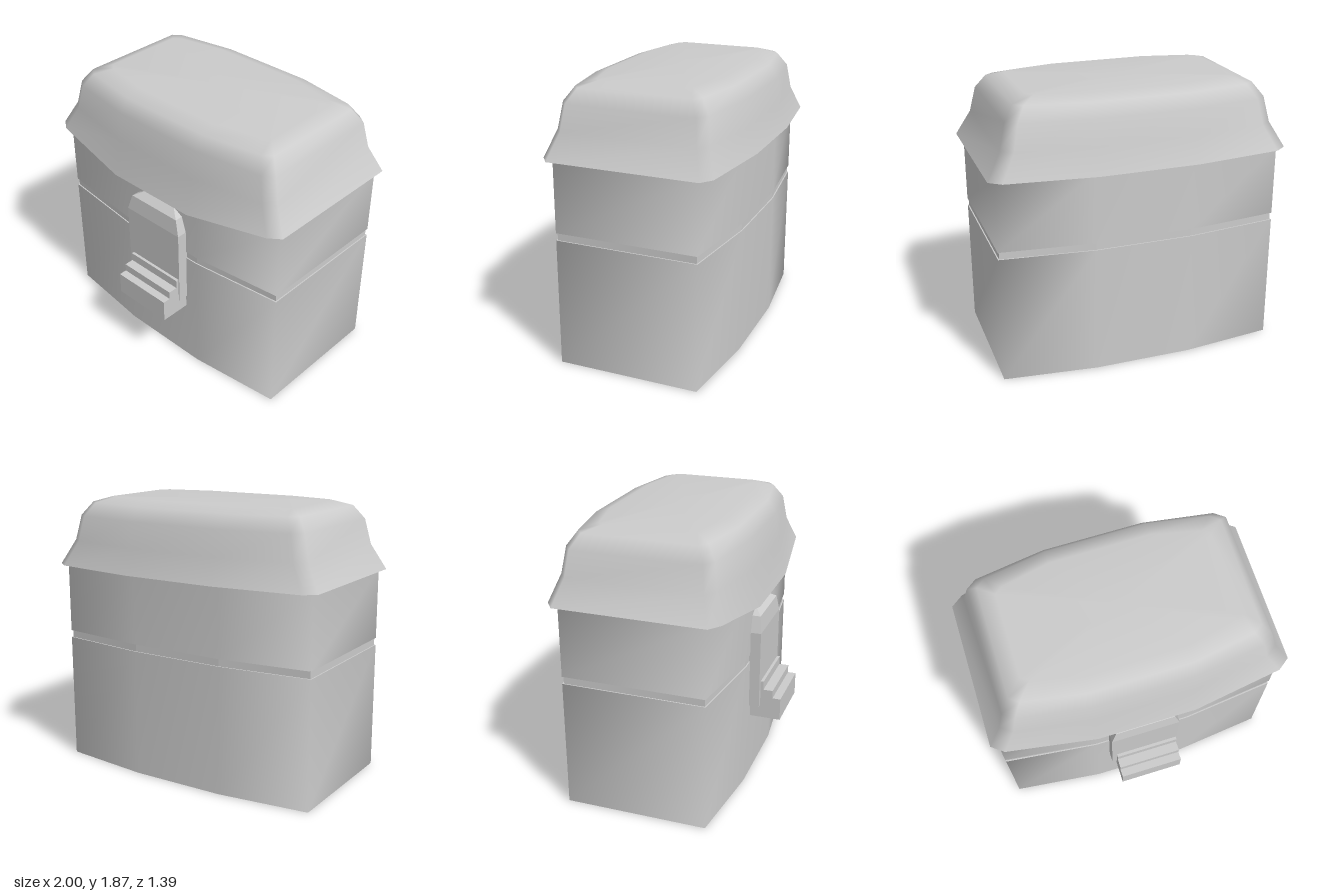
import * as THREE from 'three';

const ZC = -0.06; // centre of the bowed plan

function makeMaterial(flat) {
  return new THREE.MeshStandardMaterial({ color: 0xcccccc, side: THREE.DoubleSide, flatShading: flat });
}

// Plan outline with bowed front and back; cut > 0 chamfers the corners
function outline(hx, hz, y, cut = 0, frontDip = 0) {
  const bow = 0.07, mid = 0.33;
  const half = [[-mid, hz], [mid, hz], [hx - cut, hz - bow]];
  if (cut) half.push([hx, hz - bow - cut * 0.75]);
  const right = half.slice(2);
  const pts = [
    ...half,
    ...right.slice().reverse().map(([x, z]) => [x, -z]),
    [mid, -hz], [-mid, -hz],
    ...right.map(([x, z]) => [-x, -z]),
    ...right.slice().reverse().map(([x, z]) => [-x, z]),
  ];
  return pts.map(([x, z], i) => new THREE.Vector3(x, i < 2 ? y - frontDip : y, z + ZC));
}

// Skin between cross-sections, either closed rings or open strips
function loft(name, rings, { flat = false, closed = true, cap = false } = {}) {
  const n = rings[0].length, index = [];
  const points = rings.flat();
  for (let r = 0; r < rings.length - 1; r++) {
    for (let i = 0; i < (closed ? n : n - 1); i++) {
      const a = r * n + i, b = r * n + (i + 1) % n;
      index.push(a, b, b + n, a, b + n, a + n);
    }
  }
  if (cap) {
    const last = (rings.length - 1) * n;
    const centre = new THREE.Vector3();
    rings[rings.length - 1].forEach((p) => centre.addScaledVector(p, 1 / n));
    points.push(centre);
    for (let i = 0; i < n; i++) index.push(last + i, last + (i + 1) % n, points.length - 1);
  }
  const geometry = new THREE.BufferGeometry().setFromPoints(points);
  geometry.setIndex(index);
  geometry.computeVertexNormals();
  const mesh = new THREE.Mesh(geometry, makeMaterial(flat));
  mesh.name = name;
  return mesh;
}

export function createModel() {
  const model = new THREE.Group();
  model.name = 'lunchBox';

  // Body: open-bottomed walls split by a shallow groove
  const HX = 0.955, HZ = 0.55, inset = 0.008;
  model.add(loft('lowerBody', [outline(HX, HZ, 0), outline(HX, HZ, 0.87)]));
  model.add(loft('upperBody', [outline(HX, HZ, 0.92), outline(HX, HZ, 1.4)]));
  model.add(loft('seamGroove', [
    outline(HX, HZ, 0.87),
    outline(HX - inset, HZ - inset, 0.87),
    outline(HX - inset, HZ - inset, 0.92),
    outline(HX, HZ, 0.92),
  ], { flat: true }));

  // Lid: flared rim that dips at the front, rounded shoulders, flat top
  const lidProfile = [ // half width, half depth, height, corner cut, front dip
    [1.0, 0.633, 1.4, 0.08, 0.09],
    [0.905, 0.575, 1.57, 0.075, 0.02],
    [0.865, 0.55, 1.74, 0.07, 0],
    [0.8, 0.49, 1.83, 0.06, 0],
    [0.7, 0.39, 1.865, 0.05, 0],
  ];
  model.add(loft('lid', lidProfile.map((p) => outline(...p)), { cap: true }));

  // Latch: front plate with side flanges reaching through the wall
  const latch = new THREE.Group();
  latch.name = 'latch';
  const plateRows = [ // half width, height, front z
    [0.238, 0.54, 0.56],
    [0.238, 1.08, 0.56],
    [0.205, 1.19, 0.545],
    [0.13, 1.235, 0.49],
  ];
  latch.add(loft('latchPlate', plateRows.map(([w, y, z]) => [
    new THREE.Vector3(-w, y, 0.3),
    new THREE.Vector3(-w, y, z),
    new THREE.Vector3(w, y, z),
    new THREE.Vector3(w, y, 0.3),
  ]), { flat: true, closed: false }));

  // Stepped thumb grip, profile drawn in z and y, extruded across x
  const steps = new THREE.Shape([
    [0.485, 0.45], [0.7, 0.45], [0.7, 0.605], [0.645, 0.605],
    [0.645, 0.66], [0.58, 0.66], [0.58, 0.72], [0.485, 0.72],
  ].map(([z, y]) => new THREE.Vector2(z, y)));
  const gripGeometry = new THREE.ExtrudeGeometry(steps, { depth: 0.435, bevelEnabled: false });
  gripGeometry.rotateY(-Math.PI / 2);
  gripGeometry.translate(0.23, 0, 0);
  const grip = new THREE.Mesh(gripGeometry, makeMaterial(true));
  grip.name = 'latchGrip';
  latch.add(grip);
  model.add(latch);

  return model;
}
